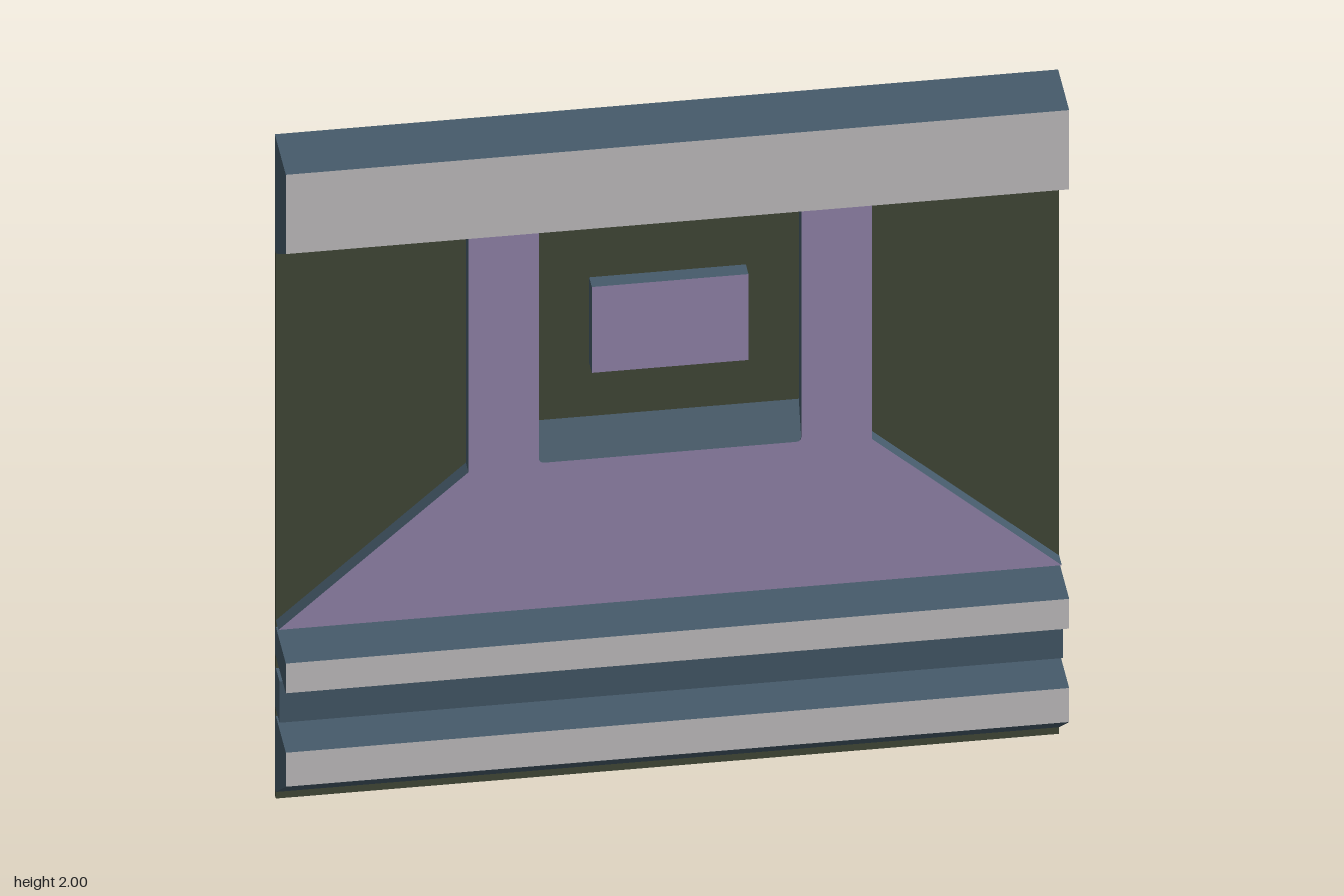
import * as THREE from 'three';

const mat = (name, color) => {
  const m = new THREE.MeshStandardMaterial({ color });
  m.name = name;
  return m;
};

const BACK = -0.093, PANEL = -0.075, RELIEF = -0.03, FRONT = 0.095;

export function createModel() {
  const group = new THREE.Group();
  const olive = mat('olive panel', 0x444b3a);
  const blue = mat('slate blue', 0x465b6b);
  const grey = mat('pale grey', 0xcac8c9);
  const lilac = mat('lilac', 0x998ab2);

  // Adds a mesh whose faces are coloured by direction: front, back, and everything else
  function add(name, geometry, front, back, side) {
    const geo = geometry.index ? geometry.toNonIndexed() : geometry;
    geo.clearGroups();
    geo.computeVertexNormals();
    const n = geo.attributes.normal;
    for (let i = 0; i < n.count; i += 3) {
      const z = n.getZ(i);
      geo.addGroup(i, 3, z > 0.95 ? 0 : z < -0.95 ? 1 : 2);
    }
    const mesh = new THREE.Mesh(geo, [front, back, side]);
    mesh.name = name;
    group.add(mesh);
  }

  // Side profile of [z, y] points swept across x
  function sweep(profile, halfWidth) {
    const shape = new THREE.Shape(profile.map(([z, y]) => new THREE.Vector2(z, y)));
    return new THREE.ExtrudeGeometry(shape, { depth: 2 * halfWidth, bevelEnabled: false })
      .rotateY(-Math.PI / 2)
      .translate(halfWidth, 0, 0);
  }
  const bar = (y0, y1, z1) => [[BACK, y0], [z1, y0], [z1, y1], [BACK, y1]];

  // Back panel strips between the beams
  [[0, 0.02], [0.25, 0.27], [0.395, 0.43], [0.52, 1.65]].forEach(([y0, y1]) =>
    add('backPanel', sweep(bar(y0, y1, PANEL), 1), olive, olive, olive));

  // Horizontal beams running the full width
  add('topBeam', sweep([[BACK, 1.65], [PANEL, 1.65], [FRONT, 1.76], [FRONT, 2], [BACK, 2]], 1), grey, olive, blue);
  add('upperRail', sweep(bar(0.43, 0.52, FRONT), 1), grey, olive, blue);
  add('middleRail', sweep(bar(0.27, 0.395, -0.013), 1), blue, olive, blue);
  add('bottomRail', sweep([[BACK, 0.02], [PANEL, 0.02], [FRONT, 0.147], [FRONT, 0.25], [BACK, 0.25]], 1), grey, olive, blue);

  // Raised relief: flared base with two uprights
  const relief = new THREE.Shape();
  const r = 0.015, inX = 0.335, outX = 0.515, floor = 0.98, top = 1.68;
  relief.moveTo(-1, 0.54);
  relief.lineTo(1, 0.54);
  relief.lineTo(outX, 0.97);
  relief.lineTo(outX, top);
  relief.lineTo(inX, top);
  relief.lineTo(inX, floor + r);
  relief.quadraticCurveTo(inX, floor, inX - r, floor);
  relief.lineTo(-inX + r, floor);
  relief.quadraticCurveTo(-inX, floor, -inX, floor + r);
  relief.lineTo(-inX, top);
  relief.lineTo(-outX, top);
  relief.lineTo(-outX, 0.97);
  add('raisedFrame', new THREE.ExtrudeGeometry(relief, {
    depth: RELIEF - PANEL, bevelEnabled: false, curveSegments: 4,
  }).translate(0, 0, PANEL), lilac, olive, blue);

  // Sloped sill between the uprights
  add('slopedSill', sweep([[PANEL, floor], [RELIEF, floor], [PANEL, 1.08]], inX), blue, olive, blue);

  // Small raised plate in the recess
  add('centrePlate', new THREE.BoxGeometry(0.4, 0.26, RELIEF - PANEL)
    .translate(0, 1.37, (RELIEF + PANEL) / 2), lilac, olive, blue);

  return group;
}
